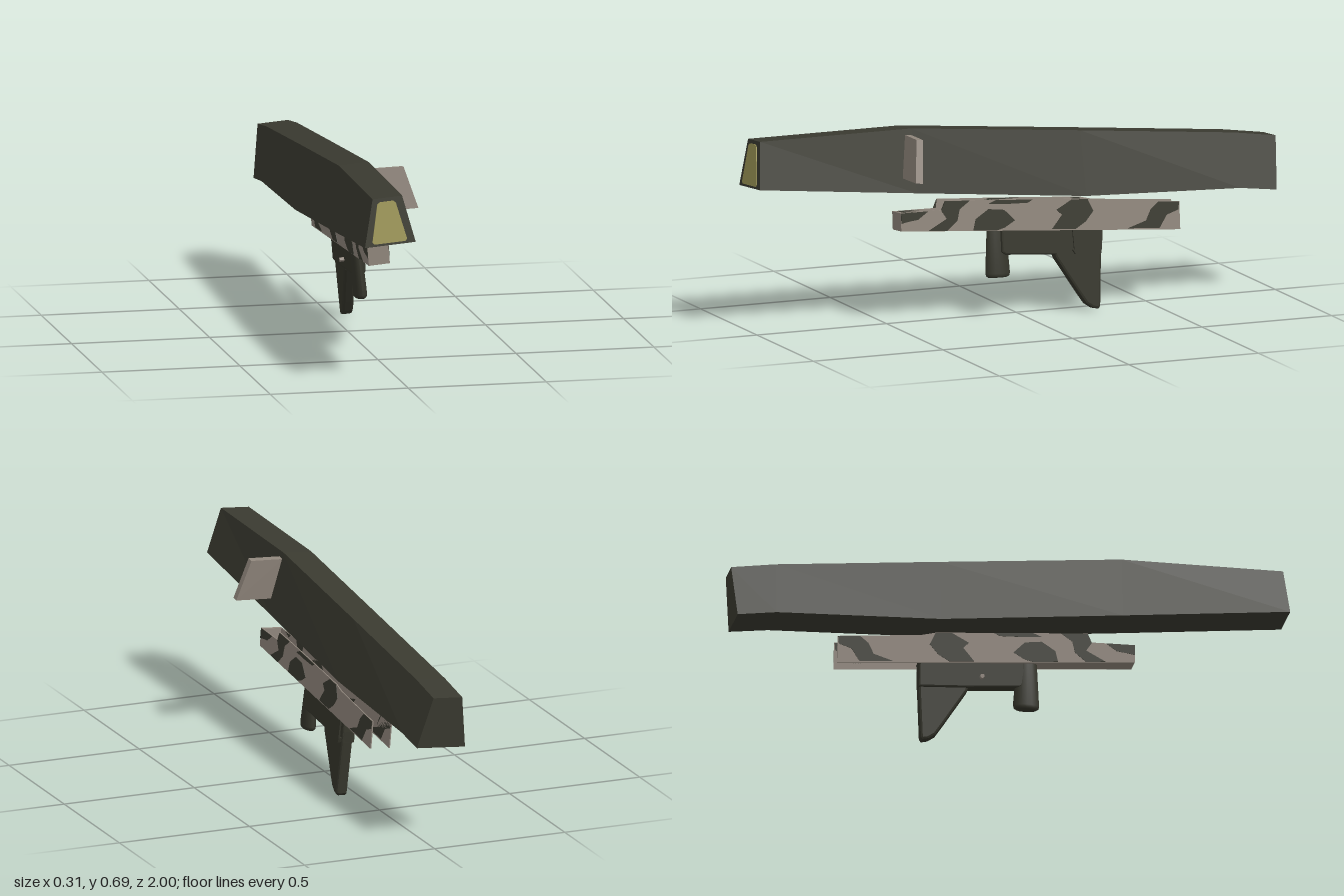
import * as THREE from 'three';

const mat = (name, color) => {
  const m = new THREE.MeshStandardMaterial({ color });
  m.name = name;
  return m;
};

// Flat-faced solid through rings of equal length, listed front to back
// (each ring clockwise as seen from the front).
function loft(rings) {
  const pos = [], n = rings[0].length, last = rings[rings.length - 1];
  const tri = (a, b, c) => pos.push(...a, ...b, ...c);
  for (let i = 0; i < rings.length - 1; i++) {
    for (let j = 0; j < n; j++) {
      const k = (j + 1) % n;
      tri(rings[i][j], rings[i][k], rings[i + 1][k]);
      tri(rings[i][j], rings[i + 1][k], rings[i + 1][j]);
    }
  }
  for (let j = 1; j < n - 1; j++) {
    tri(rings[0][0], rings[0][j + 1], rings[0][j]);
    tri(last[0], last[j], last[j + 1]);
  }
  const g = new THREE.BufferGeometry();
  g.setAttribute('position', new THREE.Float32BufferAttribute(pos, 3));
  g.computeVertexNormals();
  return g;
}

// The launcher is held with a slight roll and yaw.
function tilt(g) {
  const p = g.attributes.position;
  for (let i = 0; i < p.count; i++) {
    const x = p.getX(i), y = p.getY(i), z = p.getZ(i);
    p.setXY(i, x - 0.019 * z - 0.087 * (y - 0.35), y + 0.087 * (x - 0.02));
  }
  g.computeVertexNormals();
  return g;
}

// Side profile of [z, y] points, filled from x0 to x1.
function slab(profile, x0, x1, bevel = 0) {
  const shape = new THREE.Shape(profile.map(([z, y]) => new THREE.Vector2(z, y)));
  const g = new THREE.ExtrudeGeometry(shape, {
    depth: x1 - x0 - 2 * bevel, bevelEnabled: bevel > 0, bevelSize: bevel,
    bevelThickness: bevel, bevelOffset: -bevel, bevelSegments: 2, steps: 1,
  });
  g.rotateY(-Math.PI / 2);
  g.translate(x1 - bevel, 0, 0);
  return tilt(g);
}

export function createModel() {
  const model = new THREE.Group();
  model.name = 'launcher';
  const olive = mat('darkOlive', 0x3a3a30);
  const tan = mat('greyTan', 0x90867c);
  const amber = mat('amberGlass', 0x9d9656);
  const gripMat = mat('gripOlive', 0x35352b);
  const add = (name, geo, material, parent = model) => {
    const m = new THREE.Mesh(geo, material);
    m.name = name;
    parent.add(m);
    return m;
  };

  // Long housing: top and bottom edges bend at their own stations
  const section = (zt, zb, tl, tr, br, bl) =>
    [[...tl, zt], [...tr, zt], [...br, zb], [...bl, zb]];
  add('housing', loft([
    section(0.98, 1.0, [-0.125, 0.686], [-0.018, 0.695], [0.027, 0.53], [-0.157, 0.515]),
    section(0.4, 0.4, [-0.119, 0.688], [-0.012, 0.697], [0.038, 0.472], [-0.147, 0.457]),
    section(-0.25, -0.25, [-0.113, 0.629], [-0.005, 0.638], [0.05, 0.411], [-0.135, 0.396]),
    section(-0.84, -0.84, [-0.108, 0.574], [0.002, 0.583], [0.058, 0.393], [-0.128, 0.378]),
    section(-1.0, -0.98, [-0.106, 0.551], [0.004, 0.56], [0.06, 0.376], [-0.125, 0.36]),
  ]), olive);

  // Amber window on the front face, with clipped corners
  const corners = [[-0.108, 0.674], [-0.044, 0.68], [-0.002, 0.536], [-0.131, 0.526]];
  const clipped = corners.flatMap((c, i) => [corners[(i + 3) % 4], corners[(i + 1) % 4]].map((o) => {
    const t = 0.008 / Math.hypot(o[0] - c[0], o[1] - c[1]);
    return [c[0] + (o[0] - c[0]) * t, c[1] + (o[1] - c[1]) * t];
  }));
  const onFace = (off) => clipped.map(([x, y]) => [x, y, 1 - (y - 0.52) * 0.118 + off]);
  add('frontWindow', loft([onFace(0.003), onFace(-0.004)]), amber);

  // Slanted sight plate on the left side
  const plate = [[-0.012, 0.676, 0.425], [0.108, 0.681, 0.432], [0.157, 0.534, 0.454], [0.02, 0.527, 0.448]];
  add('sightPlate', loft([plate, plate.map(([x, y, z]) => [x, y - 0.003, z - 0.026])]), tan);

  // Camouflaged rail: two thin walls, a partial floor and a front cap
  const rail = new THREE.Group();
  rail.name = 'rail';
  model.add(rail);
  const wall = [[0.465, 0.338], [0.465, 0.403], [0.3, 0.402], [0.295, 0.434], [0.05, 0.42],
    [-0.25, 0.4], [-0.3, 0.388], [-0.6, 0.364], [-0.6, 0.264]];
  const patches = [
    [[0.464, 0.365], [0.464, 0.402], [0.36, 0.402], [0.4, 0.375], [0.44, 0.37]],
    [[0.36, 0.333], [0.29, 0.37], [0.31, 0.4], [0.295, 0.433], [0.2, 0.428], [0.24, 0.4], [0.25, 0.36], [0.29, 0.327]],
    [[0.19, 0.321], [0.18, 0.36], [0.13, 0.392], [0.07, 0.385], [0.03, 0.345], [0.07, 0.322], [0.1, 0.314]],
    [[0.13, 0.41], [0.1, 0.422], [-0.04, 0.413], [-0.02, 0.403], [0.06, 0.405]],
    [[-0.11, 0.302], [-0.15, 0.35], [-0.13, 0.37], [-0.19, 0.402], [-0.25, 0.398], [-0.27, 0.355], [-0.24, 0.32], [-0.2, 0.296]],
    [[-0.4, 0.283], [-0.47, 0.305], [-0.49, 0.345], [-0.52, 0.369], [-0.598, 0.363], [-0.595, 0.335], [-0.55, 0.32], [-0.52, 0.274]],
  ];
  for (const [side, inner, outer] of [['left', 0.055, 0.059], ['right', -0.013, -0.017]]) {
    add(side + 'RailWall', slab(wall, Math.min(inner, outer), Math.max(inner, outer)), tan, rail);
    const edge = outer + Math.sign(outer) * 0.0015;
    for (const p of patches) {
      add(side + 'CamouflagePatch', slab(p, Math.min(edge, inner), Math.max(edge, inner)), olive, rail);
    }
  }
  add('railFloor', slab([[0.465, 0.338], [0.465, 0.35], [-0.05, 0.316], [-0.05, 0.303]], -0.015, 0.057), tan, rail);
  add('railLining', slab([[0.45, 0.349], [0.45, 0.355], [-0.05, 0.321], [-0.05, 0.315]], -0.013, 0.055), olive, rail);
  add('railFrontCap', slab([[0.465, 0.338], [0.465, 0.403], [0.452, 0.403], [0.452, 0.338]], -0.015, 0.057), tan, rail);

  // Trigger housing and rear grip
  add('triggerHousing', slab([[0.075, 0.33], [0.075, 0.232], [0.06, 0.222], [-0.13, 0.208],
    [-0.305, 0.2], [-0.305, 0.325]], -0.006, 0.042, 0.006), gripMat);
  add('rearGrip', slab([[-0.12, 0.225], [-0.13, 0.195], [-0.215, 0.062], [-0.24, 0.025], [-0.265, 0.008],
    [-0.288, 0.003], [-0.295, 0.012], [-0.307, 0.24]], 0.001, 0.042, 0.009), gripMat);
  add('gripLedge', slab([[-0.19, 0.222], [-0.2, 0.206], [-0.295, 0.2], [-0.3, 0.217]], 0.03, 0.055), gripMat);
  add('gripFlange', slab([[-0.19, 0.3], [-0.195, 0.222], [-0.3, 0.215], [-0.305, 0.3]], 0.05, 0.056), gripMat);

  // Tapered oval foregrip with a rounded foot
  const foot = [[0, 0.142], [0.036, 0.142], [0.044, 0.147], [0.047, 0.157], [0.035, 0.335], [0, 0.335]];
  const fore = new THREE.LatheGeometry(foot.map(([r, y]) => new THREE.Vector2(r, y)), 16);
  fore.scale(0.5, 1, 1);
  fore.translate(0.012, 0, 0.083);
  add('foregrip', tilt(fore), gripMat);

  // Small safety knob beside the trigger housing
  const knob = new THREE.CylinderGeometry(0.008, 0.008, 0.016, 8);
  knob.rotateZ(Math.PI / 2);
  knob.translate(-0.014, 0.248, -0.08);
  add('safetyKnob', tilt(knob), tan);

  return model;
}
